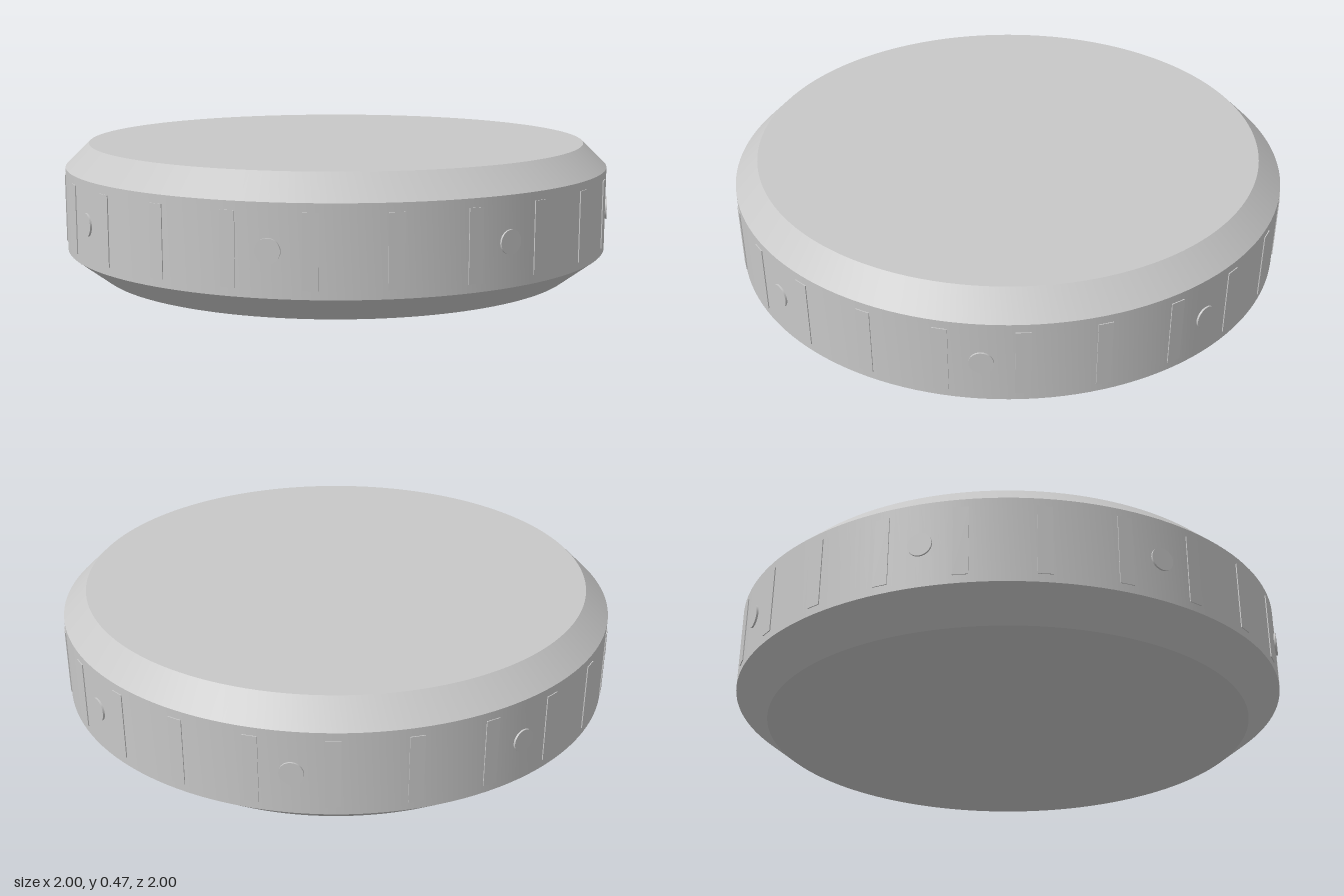
import * as THREE from 'three';
import { toCreasedNormals } from 'three/addons/utils/BufferGeometryUtils.js';

const BODY_R = 0.997;
const MID_Y = 0.238;

export function createModel() {
  const model = new THREE.Group();
  model.name = 'disc';
  const grey = new THREE.MeshStandardMaterial({ color: 0xc8c8c8 });
  grey.name = 'grey';

  // Solid disc with a bevel on both rims
  const profile = [
    [0, 0], [0.88, 0], [BODY_R, 0.09], [BODY_R, 0.387], [0.912, 0.47], [0, 0.47],
  ].map(([r, y]) => new THREE.Vector2(r, y));
  const body = new THREE.Mesh(
    toCreasedNormals(new THREE.LatheGeometry(profile, 144), 0.4), grey);
  body.name = 'body';
  model.add(body);

  // Places count copies around the rim, each with its outer face at radius r
  function ring(name, geometry, count, startAngle, r) {
    const group = new THREE.Group();
    group.name = name + 's';
    for (let i = 0; i < count; i++) {
      const a = startAngle + (i / count) * Math.PI * 2;
      const mesh = new THREE.Mesh(geometry, grey);
      mesh.name = name;
      mesh.position.set(Math.sin(a) * r, MID_Y, Math.cos(a) * r);
      mesh.rotation.y = a;
      group.add(mesh);
    }
    model.add(group);
  }

  // Upright grip bars, every 15 degrees
  const bar = new THREE.BoxGeometry(0.05, 0.24, 0.02).translate(0, 0, -0.01);
  ring('gripBar', bar, 24, 0, 1);

  // Round studs between the bars, every 45 degrees
  const stud = new THREE.CylinderGeometry(0.04, 0.04, 0.02, 32)
    .rotateX(Math.PI / 2).translate(0, 0, -0.01);
  ring('stud', stud, 8, Math.PI / 8, 1.003);

  return model;
}
